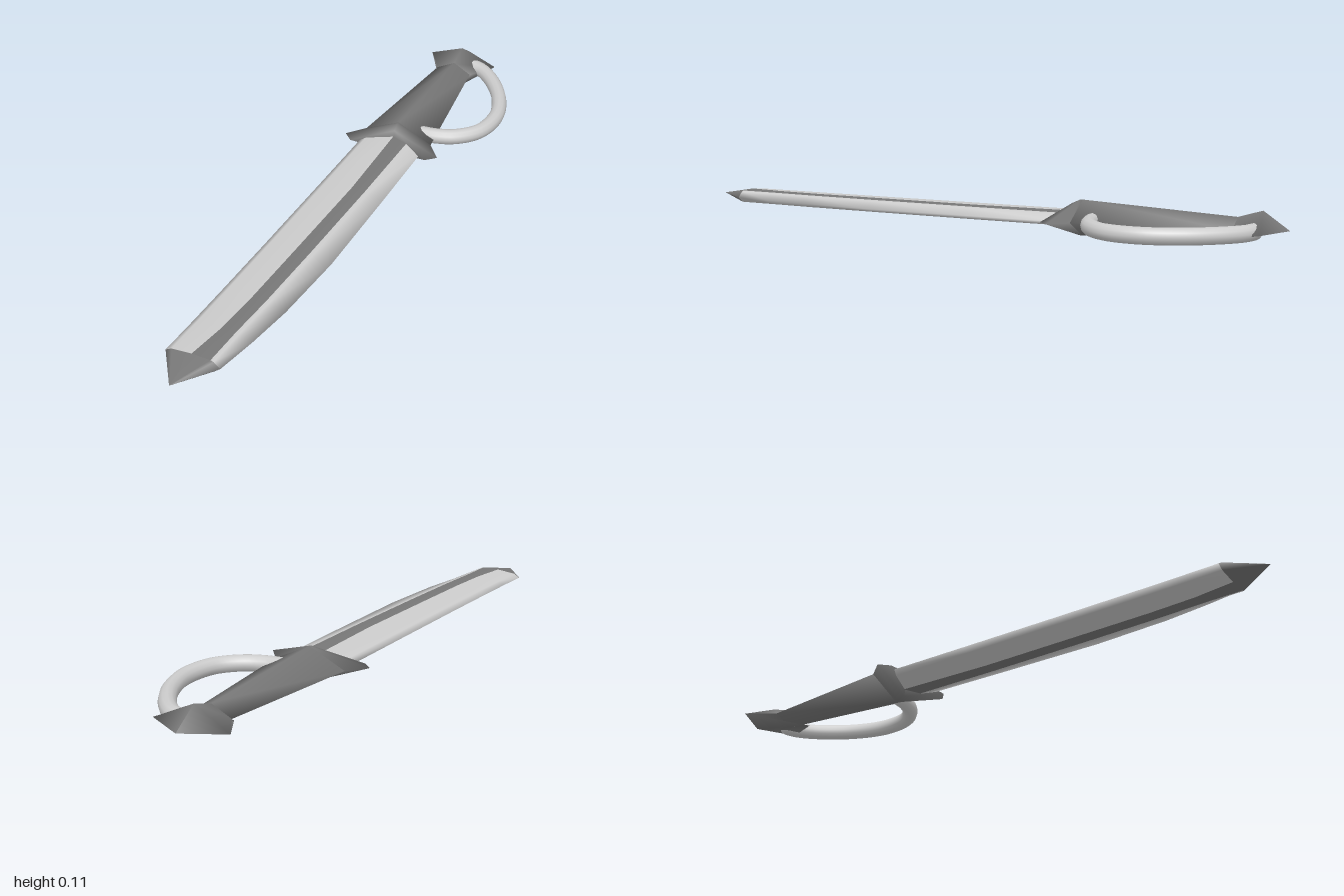
import * as THREE from 'three';

const CX = -0.055, CY = 0.058;

// Skin over rings of [x, y, z] points: anticlockwise seen from +z, running towards +z.
// One geometry group per side, so each side can take its own material.
function loft(name, rings, materials, materialOf = () => 0) {
  const n = rings[0].length, index = [];
  const geometry = new THREE.BufferGeometry();
  geometry.setAttribute('position', new THREE.Float32BufferAttribute(rings.flat(2), 3));
  for (let j = 0; j < n; j++) {
    const start = index.length;
    for (let i = 0; i < rings.length - 1; i++) {
      const a = i * n + j, b = i * n + (j + 1) % n;
      index.push(a, b, b + n, a, b + n, a + n);
    }
    geometry.addGroup(start, index.length - start, materialOf(j));
  }
  geometry.setIndex(index);
  geometry.computeVertexNormals();
  const mesh = new THREE.Mesh(geometry, materials);
  mesh.name = name;
  return mesh;
}

// Diamond ring whose side points and ridge points may sit at different depths
const diamond = (w, h, zSide, zRidge = zSide) => [
  [CX + w, CY, zSide], [CX, CY + h, zRidge], [CX - w, CY, zSide], [CX, CY - h, zRidge],
];

// Blade ring: left and right edges, with a central band on both faces
function bladeRing([z, xl, xr, bl, br]) {
  const h = 0.02, top = [[xr, 0], [br + 0.01, 0.017], [br, h], [bl, h], [xl + 0.02, 0.012], [xl, 0]];
  const under = top.slice(1, -1).reverse().map(([x, y]) => [x, -y]);
  return [...top, ...under].map(([x, y]) => [x, CY + y, z]);
}

export function createModel() {
  const light = new THREE.MeshStandardMaterial({ color: 0xcccccc });
  light.name = 'bright steel';
  const dark = new THREE.MeshStandardMaterial({ color: 0x777777 });
  dark.name = 'dark steel';
  const group = new THREE.Group();
  group.name = 'sword';

  // Blade: [z, left edge, right edge, band left, band right]
  const blade = [
    [-0.34, -0.163, 0.055, -0.058, 0.0],
    [0.0, -0.167, 0.056, -0.052, -0.005],
    [0.35, -0.172, 0.055, -0.062, -0.015],
    [0.6, -0.177, 0.037, -0.07, -0.025],
    [0.75, -0.181, 0.015, -0.08, -0.035],
    [0.88, -0.186, -0.01, -0.1, -0.04],
  ].map(bladeRing);
  group.add(loft('blade', blade, [light, dark], (j) => (j === 2 || j === 7 ? 1 : 0)));

  // Point of the blade
  const end = blade[blade.length - 1];
  group.add(loft('bladeTip', [end, end.map(() => [-0.1, CY, 0.995])], [dark]));

  // Tapered grip
  group.add(loft('grip', [
    diamond(0.062, 0.031, -0.88),
    diamond(0.064, 0.033, -0.84),
    diamond(0.12, 0.057, -0.36),
  ], [dark]));

  // Swept cross guard with a notch in front
  group.add(loft('crossGuard', [
    diamond(0.12, 0.057, -0.36),
    diamond(0.17, 0.056, -0.3, -0.35),
    diamond(0.138, 0.044, -0.27, -0.325),
    diamond(0, 0, -0.325),
  ], [dark]));

  // Pommel, its lower corner drawn forward under the grip
  const collar = [...diamond(0.125, 0.056, -0.935, -0.92)];
  collar[3] = [CX, 0.01, -0.745];
  group.add(loft('pommel', [
    diamond(0, 0, -1),
    collar,
    diamond(0.062, 0.031, -0.84),
  ], [dark]));

  // Curved knuckle bow
  const path = new THREE.CatmullRomCurve3([
    [0.0, -0.905], [0.04, -0.89], [0.1, -0.835], [0.165, -0.735], [0.198, -0.62],
    [0.18, -0.51], [0.12, -0.445], [0.06, -0.42], [0.005, -0.412],
  ].map(([x, z]) => new THREE.Vector3(x, CY, z)));
  const bow = new THREE.Mesh(new THREE.TubeGeometry(path, 40, 0.026, 12), light);
  bow.name = 'knuckleBow';
  group.add(bow);

  // Rounded ends of the bow
  for (const t of [0, 1]) {
    const cap = new THREE.Mesh(new THREE.SphereGeometry(0.026, 12, 8), light);
    cap.position.copy(path.getPoint(t));
    cap.scale.setScalar(0.99);
    cap.name = 'knuckleBowEnd';
    group.add(cap);
  }
  return group;
}
